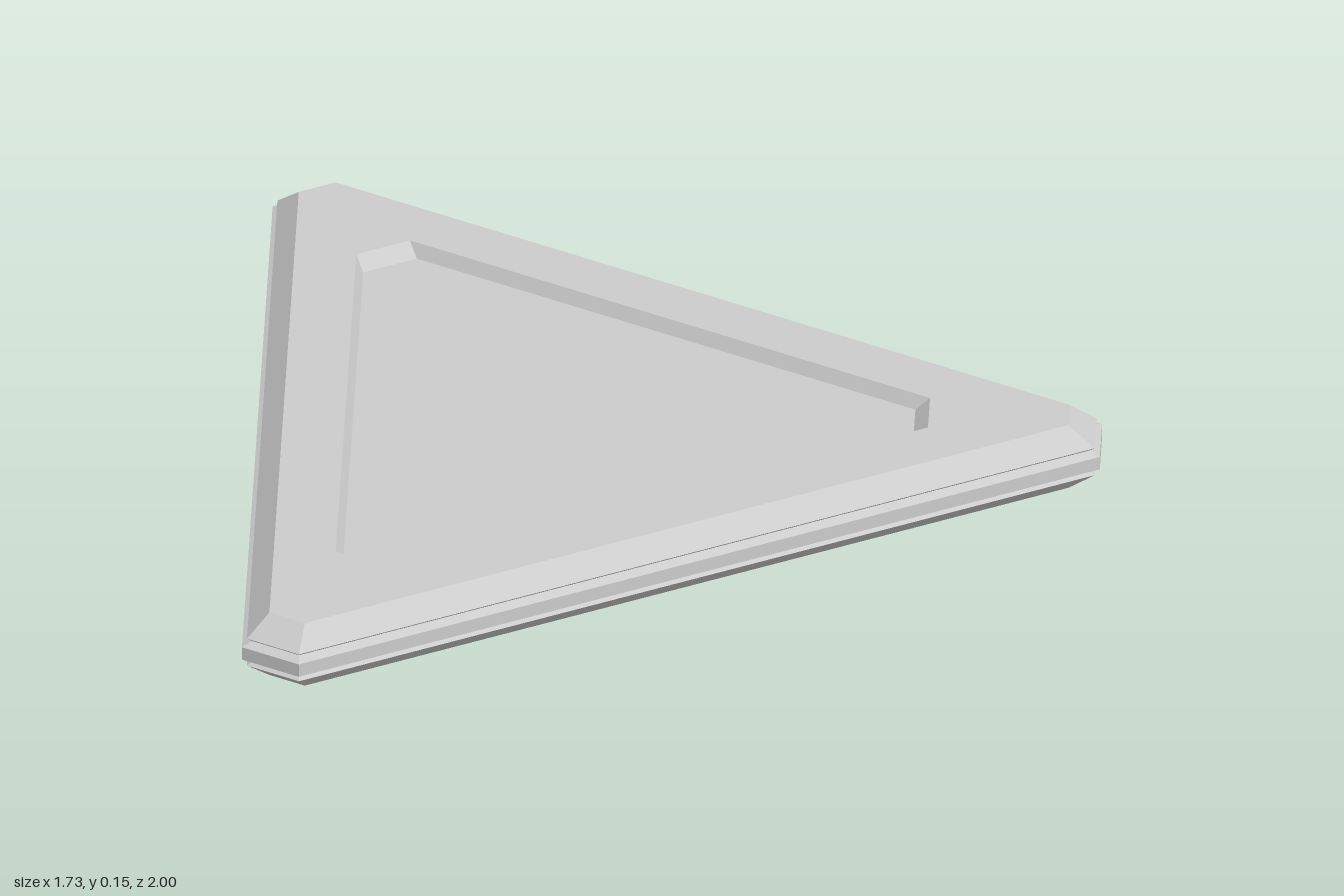
import * as THREE from 'three';

const CENTRE_X = -0.25;
const HEIGHT = 0.147;

// Blunt-cornered triangle: r = distance to the sides, c = distance to the cut corners
function ring(r, c, y) {
  const w = (2 * r - c) / Math.sqrt(3);
  const pts = [];
  for (let k = 0; k < 3; k++) {
    const a = (k * 2 * Math.PI) / 3;
    for (const s of [-w, w]) {
      pts.push(new THREE.Vector3(
        CENTRE_X + c * Math.cos(a) - s * Math.sin(a), y,
        c * Math.sin(a) + s * Math.cos(a)));
    }
  }
  return pts;
}

// Skin a list of [r, c, y] cross-sections; r = 0 closes to a point
function loft(name, profile, material) {
  const rings = profile.map((p) => ring(...p));
  const pos = [];
  const tri = (...v) => v.forEach((p) => pos.push(p.x, p.y, p.z));
  for (let j = 0; j < rings.length - 1; j++) {
    const lo = rings[j], hi = rings[j + 1];
    for (let i = 0; i < 6; i++) {
      const n = (i + 1) % 6;
      if (profile[j + 1][0] > 0) tri(lo[i], hi[i], hi[n]);
      if (profile[j][0] > 0) tri(lo[i], hi[n], lo[n]);
    }
  }
  const geo = new THREE.BufferGeometry();
  geo.setAttribute('position', new THREE.Float32BufferAttribute(pos, 3));
  geo.computeVertexNormals();
  const mesh = new THREE.Mesh(geo, material);
  mesh.name = name;
  return mesh;
}

// Same profile reflected to the underside
const flip = (profile) => profile.map(([r, c, y]) => [r, c, HEIGHT - y]).reverse();

export function createModel() {
  const group = new THREE.Group();
  group.name = 'triangularPlate';
  const material = new THREE.MeshStandardMaterial({ color: 0xcccccc, flatShading: true });

  const floorY = HEIGHT - 0.028;
  const groove = [0.597, 1.095, 0.097];
  const floorEdge = [0.42, 0.732, floorY];

  // Bevelled rim, flat border and recess wall
  const rim = [
    groove,
    [0.607, 1.105, 0.105],
    [0.562, 1.05, HEIGHT],
    [0.435, 0.762, HEIGHT],
    floorEdge,
  ];
  // Sunken panel
  const panel = [floorEdge, [0, 0, floorY]];
  // Raised band around the edge, between two grooves
  const crest = [0.617, 1.115, 0.088];
  const band = [...flip([crest, groove]), crest, groove];

  group.add(
    loft('upperRim', rim, material),
    loft('upperPanel', panel, material),
    loft('lowerRim', flip(rim), material),
    loft('lowerPanel', flip(panel), material),
    loft('edgeBand', band, material),
  );
  return group;
}
